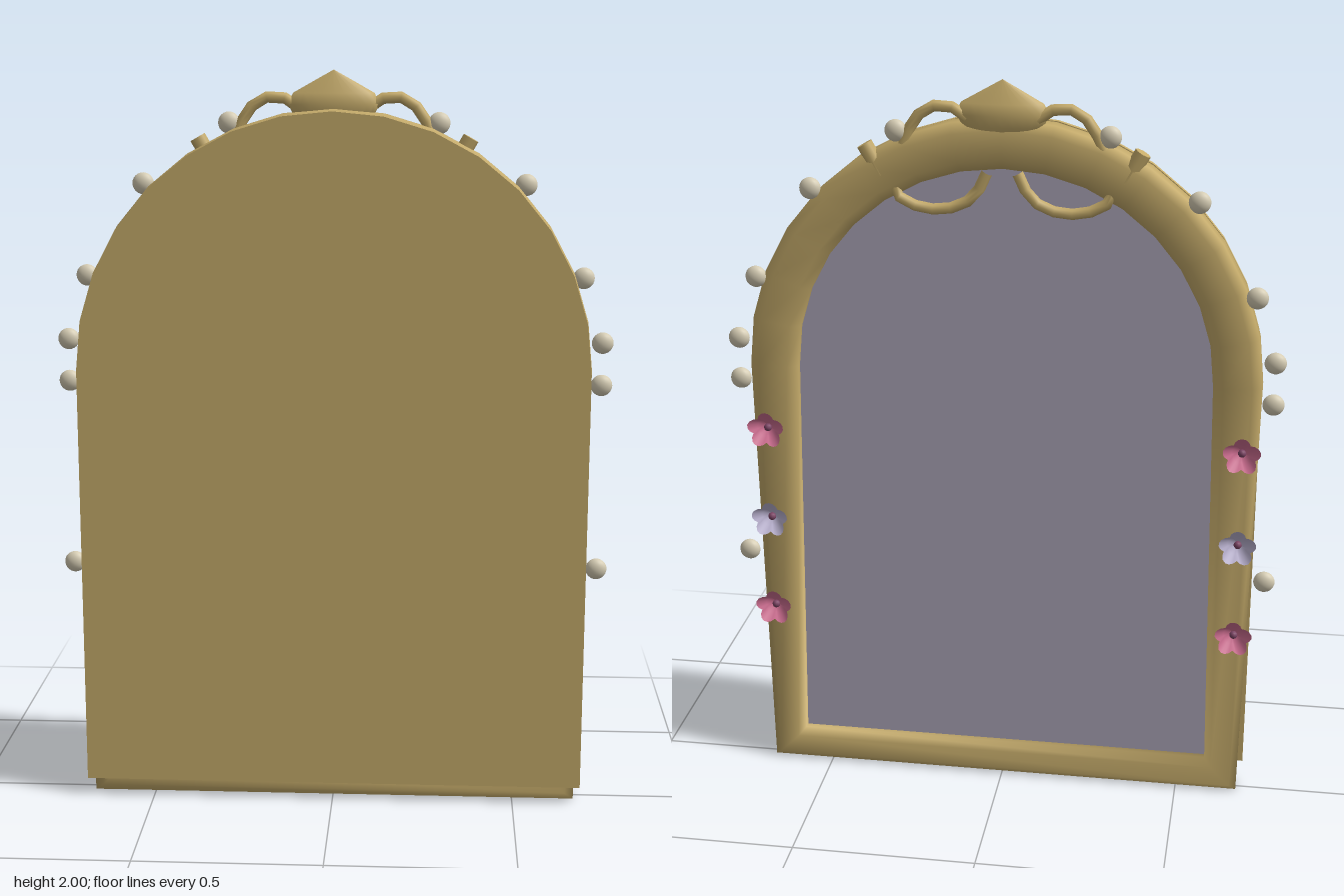
import * as THREE from 'three';

const mat = (name, color, side = THREE.FrontSide) => {
  const m = new THREE.MeshStandardMaterial({ color, side });
  m.name = name;
  return m;
};

// Arched outline, counter-clockwise from the bottom right
function archPoints(r, bottom, centreY, steps) {
  const pts = [new THREE.Vector2(r, bottom)];
  for (let i = 0; i <= steps; i++) {
    const a = (i / steps) * Math.PI;
    pts.push(new THREE.Vector2(r * Math.cos(a), centreY + r * Math.sin(a)));
  }
  pts.push(new THREE.Vector2(-r, bottom));
  return pts;
}

// Sweep a [outward, z] profile round a closed flat path
function sweep(path, profile) {
  const n = path.length, m = profile.length, pos = [], idx = [];
  for (let i = 0; i < n; i++) {
    const d1 = path[i].clone().sub(path[(i + n - 1) % n]).normalize();
    const d2 = path[(i + 1) % n].clone().sub(path[i]).normalize();
    const t = d1.add(d2).normalize();
    for (const [o, z] of profile) pos.push(path[i].x + t.y * o, path[i].y - t.x * o, z);
    for (let j = 0; j < m; j++) {
      const a = i * m + j, b = i * m + (j + 1) % m;
      const c = ((i + 1) % n) * m + j, d = ((i + 1) % n) * m + (j + 1) % m;
      idx.push(a, c, b, b, c, d);
    }
  }
  const g = new THREE.BufferGeometry();
  g.setAttribute('position', new THREE.Float32BufferAttribute(pos, 3));
  g.setIndex(idx);
  g.computeVertexNormals();
  return g;
}

// Five-petalled cup opening towards -z
function petalGeometry() {
  const seg = 30, rings = [[0.008, 0], [0.028, -0.012], [0.052, -0.036]], pos = [], idx = [];
  rings.forEach(([r, z], k) => {
    for (let i = 0; i < seg; i++) {
      const a = (i / seg) * Math.PI * 2 + Math.PI / 2;
      const lobe = Math.abs(Math.cos(2.5 * (a - Math.PI / 2)));
      const rr = r * (1 - 0.14 * k * (1 - lobe));
      pos.push(rr * Math.cos(a), rr * Math.sin(a), z + 0.004 * k * (1 - lobe));
      if (k < rings.length - 1) {
        const p = k * seg + i, q = k * seg + (i + 1) % seg;
        idx.push(p, q, p + seg, q, q + seg, p + seg);
      }
    }
  });
  const g = new THREE.BufferGeometry();
  g.setAttribute('position', new THREE.Float32BufferAttribute(pos, 3));
  g.setIndex(idx);
  g.computeVertexNormals();
  return g;
}

export function createModel() {
  const group = new THREE.Group();
  const gold = mat('antique gold', 0xc6ac6b);
  const glass = mat('mirror glass', 0xaea7ba, THREE.DoubleSide);
  const pearl = mat('pearl', 0xd6cdb4);
  const pink = mat('pink petal', 0xcf6f92, THREE.DoubleSide);
  const lilac = mat('lilac petal', 0xbcb4d2, THREE.DoubleSide);
  const plum = mat('flower centre', 0x7c4565);

  const add = (name, geo, material, x = 0, y = 0, z = 0) => {
    const mesh = new THREE.Mesh(geo, material);
    mesh.name = name;
    mesh.position.set(x, y, z);
    group.add(mesh);
    return mesh;
  };

  // Flat backing board
  const board = new THREE.Shape(archPoints(0.686, 0.05, 1.21, 16));
  add('backingBoard', new THREE.ExtrudeGeometry(board, { depth: 0.016, bevelEnabled: false }), gold, 0, 0, 0.056);

  // Moulded frame; corners keep the profile width, so they are slightly blunted
  const profile = [
    [0.065, -0.018], [0.065, 0.028], [0.03, 0.052], [-0.03, 0.052],
    [-0.065, 0.028], [-0.065, -0.012], [-0.038, -0.036], [0.038, -0.036],
  ];
  add('frame', sweep(archPoints(0.625, 0.046, 1.21, 16), profile), gold);

  // Mirror pane
  add('mirrorPane', new THREE.ShapeGeometry(new THREE.Shape(archPoints(0.61, 0.06, 1.21, 16))), glass, 0, 0, 0.005);

  // Crest at the top of the arch
  const crest = [[0, 1.84], [0.06, 1.85], [0.105, 1.88], [0.12, 1.91], [0.107, 1.94], [0, 2]]
    .map(([x, y]) => new THREE.Vector2(x, y));
  add('crest', new THREE.LatheGeometry(crest, 24), gold, 0, 0, -0.012).scale.set(1, 1, 0.27);

  const pearls = [[0.277, 1.862], [0.508, 1.702], [0.665, 1.456], [0.72, 1.282], [0.72, 1.167], [0.72, 0.655]];
  const pearlGeo = new THREE.SphereGeometry(0.029, 16, 12);
  const petalGeo = petalGeometry();
  const budGeo = new THREE.SphereGeometry(0.011, 10, 8);
  const pegGeo = new THREE.CylinderGeometry(0.022, 0.022, 0.09, 8);

  for (const s of [1, -1]) {
    const side = s > 0 ? 'left' : 'right';

    // Scroll that loops over the arch and hangs in front of the pane
    const scroll = new THREE.CatmullRomCurve3([
      [0.09, 1.9], [0.125, 1.925], [0.19, 1.925], [0.235, 1.88], [0.27, 1.79],
      [0.285, 1.705], [0.225, 1.665], [0.14, 1.662], [0.075, 1.695], [0.04, 1.76],
    ].map(([x, y]) => new THREE.Vector3(s * x, y, -0.016)));
    add(side + 'Scroll', new THREE.TubeGeometry(scroll, 14, 0.015, 8), gold);

    // Radial peg beside the scroll
    add(side + 'Peg', pegGeo, gold, s * 0.338, 1.785, -0.015).rotation.z = -s * 0.52;

    pearls.forEach(([x, y], i) =>
      add(`${side}Pearl${i + 1}`, pearlGeo, pearl, s * x, y, -0.018).scale.set(1, 1, 0.68));

    // Flowers up the side of the frame
    [[1.035, pink], [0.77, lilac], [0.5, pink]].forEach(([y, m], i) => {
      add(`${side}Flower${i + 1}`, petalGeo, m, s * 0.645, y, -0.036);
      add(`${side}FlowerCentre${i + 1}`, budGeo, plum, s * 0.645, y, -0.042);
    });
  }
  return group;
}
